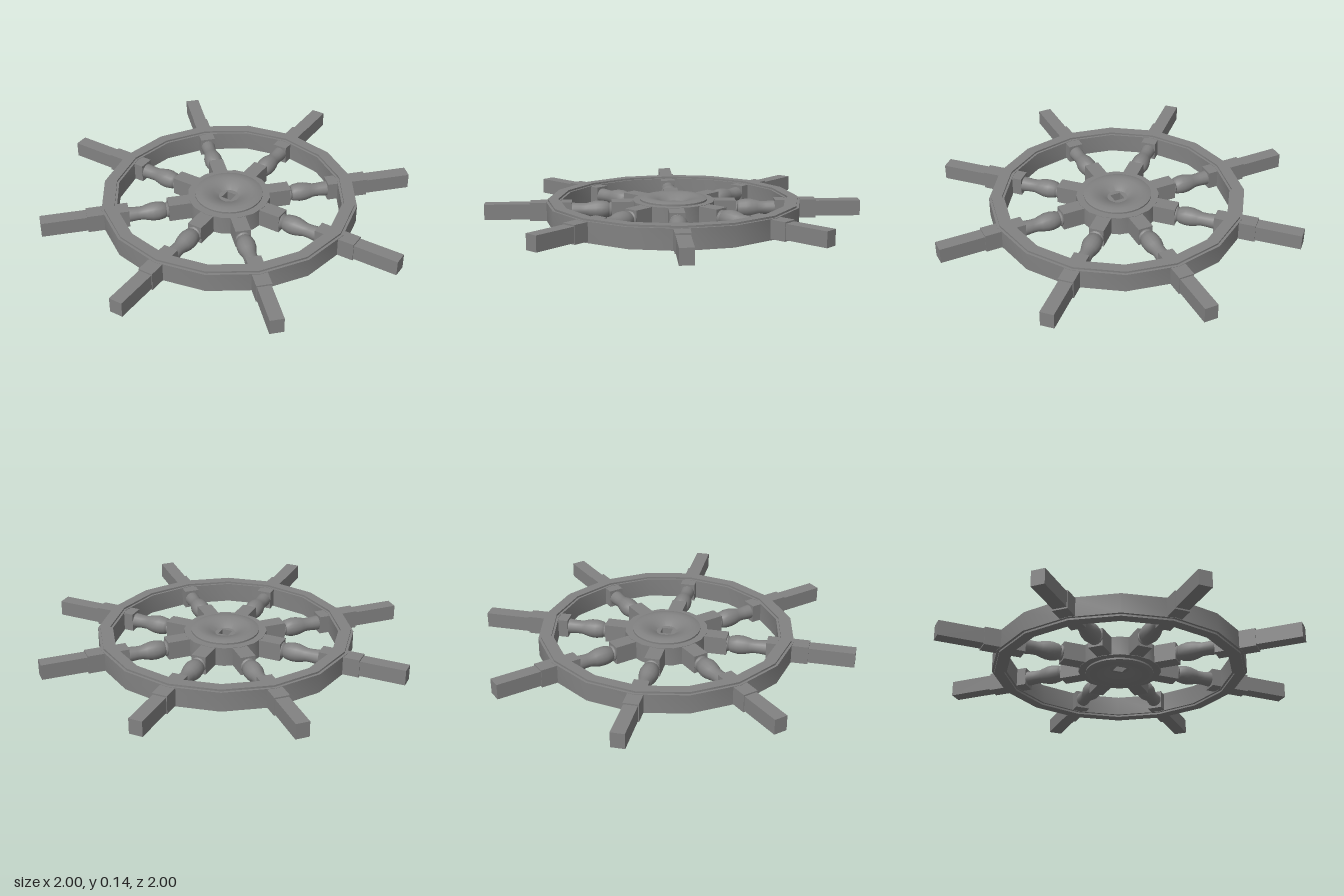
import * as THREE from 'three';
import { toCreasedNormals } from 'three/addons/utils/BufferGeometryUtils.js';

const MID = 0.07; // height of the wheel's middle plane

export function createModel() {
  const wheel = new THREE.Group();
  wheel.name = 'wheel';
  const material = new THREE.MeshStandardMaterial({ color: 0x828282 });

  const add = (parent, name, geometry) => {
    const mesh = new THREE.Mesh(geometry, material);
    mesh.name = name;
    parent.add(mesh);
    return mesh;
  };

  // Closed ring, mirrored about the middle plane; half = [radius, half height] from outside inwards
  const ring = (half, sides) => {
    const upper = half.map(([r, h]) => new THREE.Vector2(r, h));
    const lower = half.map(([r, h]) => new THREE.Vector2(r, -h)).reverse();
    const profile = [...upper, ...lower, upper[0].clone()];
    return toCreasedNormals(new THREE.LatheGeometry(profile, sides), 0.5);
  };

  // Sixteen-sided rim with a raised band on both faces
  const rim = [[0.68, 0.051], [0.667, 0.051], [0.667, 0.061], [0.612, 0.061], [0.612, 0.051], [0.6, 0.051]];
  add(wheel, 'rim', ring(rim, 16)).position.y = MID;

  // Hub body and its dished cap plates
  add(wheel, 'hub', ring([[0.22, 0.051], [0.09, 0.051]], 16)).position.y = MID;
  const cap = [[0.18, 0.06], [0.152, 0.069], [0.125, 0.067], [0.085, 0.057], [0.05, 0.033]];
  add(wheel, 'hubCap', ring(cap, 32)).position.y = MID;

  // Square bore at the bottom of the dish
  const plate = new THREE.Shape().absarc(0, 0, 0.056, 0, Math.PI * 2);
  const corners = [[-1, -1], [-1, 1], [1, 1], [1, -1]];
  plate.holes.push(new THREE.Path(corners.map(([x, y]) => new THREE.Vector2(x * 0.028, y * 0.028))));
  const bore = new THREE.ExtrudeGeometry(plate, { depth: 0.07, bevelEnabled: false, curveSegments: 8 });
  bore.rotateX(-Math.PI / 2).translate(0, -0.035, 0);
  add(wheel, 'hubBore', bore).position.y = MID;

  // Turned section of a spoke: radius, distance from the wheel's centre
  const turned = [
    [0.04, 0.325], [0.042, 0.335], [0.036, 0.342], [0.044, 0.352], [0.05, 0.385],
    [0.049, 0.415], [0.042, 0.445], [0.036, 0.465], [0.036, 0.495], [0.039, 0.53], [0.039, 0.545],
  ].map(([r, d]) => new THREE.Vector2(r, d));
  const baluster = toCreasedNormals(new THREE.LatheGeometry(turned, 16), 0.7);
  baluster.rotateZ(-Math.PI / 2);

  const bar = (from, to, height, width) =>
    new THREE.BoxGeometry(to - from, height, width).translate((from + to) / 2, 0, 0);
  const arm = bar(0.17, 0.33, 0.098, 0.08);
  const block = bar(0.54, 0.76, 0.098, 0.08);
  const grip = bar(0.75, 1.0, 0.082, 0.072);

  // Eight spokes with handles
  for (let i = 0; i < 8; i++) {
    const spoke = new THREE.Group();
    spoke.name = 'spoke';
    spoke.position.y = MID;
    spoke.rotation.y = (i * Math.PI) / 4;
    add(spoke, 'hubArm', arm);
    add(spoke, 'turnedSpoke', baluster);
    add(spoke, 'rimBlock', block);
    add(spoke, 'handle', grip);
    wheel.add(spoke);
  }
  return wheel;
}
